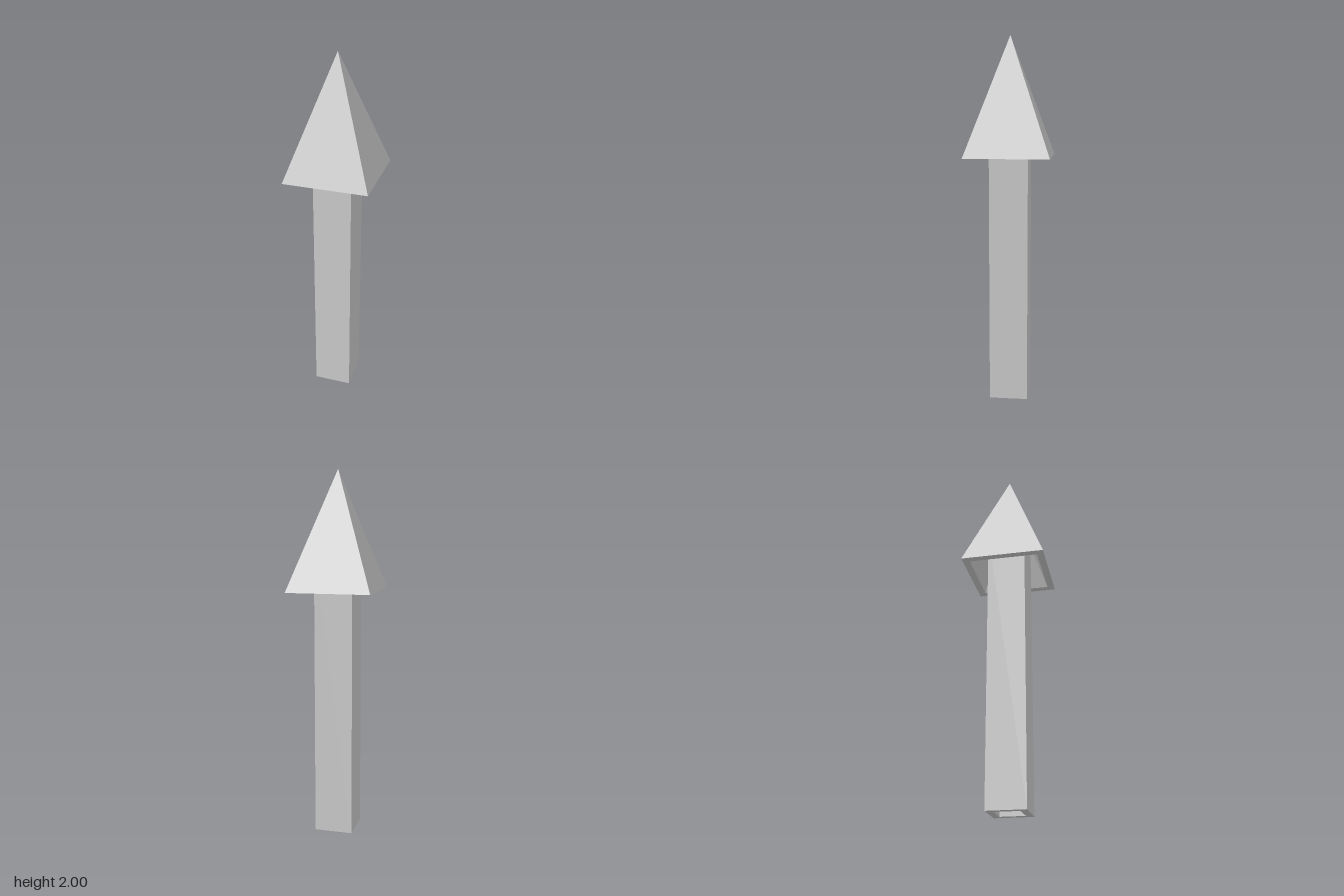
import * as THREE from 'three';

const material = new THREE.MeshStandardMaterial({ color: 0xcccccc, flatShading: true });

// Four-sided hollow solid from a profile of [half width, height] points, outer side going up first
function squareLathe(name, profile) {
  const points = profile.map(([half, y]) => new THREE.Vector2(half * Math.SQRT2, y));
  const geometry = new THREE.LatheGeometry(points, 4, Math.PI / 4).toNonIndexed();
  geometry.computeVertexNormals();
  const mesh = new THREE.Mesh(geometry, material);
  mesh.name = name;
  return mesh;
}

export function createModel() {
  const group = new THREE.Group();
  group.name = 'arrow';

  // Square tube, running up into the hollow head
  const outer = 0.105, inner = 0.068, top = 1.59;
  group.add(squareLathe('shaft', [
    [inner, 0], [outer, 0], [outer, top], [inner, top], [inner, 0],
  ]));

  // Hollow pyramid with a flat rim underneath
  group.add(squareLathe('arrowHead', [
    [0.19, 1.357], [0.229, 1.357], [0, 2], [0, 1.89], [0.19, 1.357],
  ]));

  return group;
}
